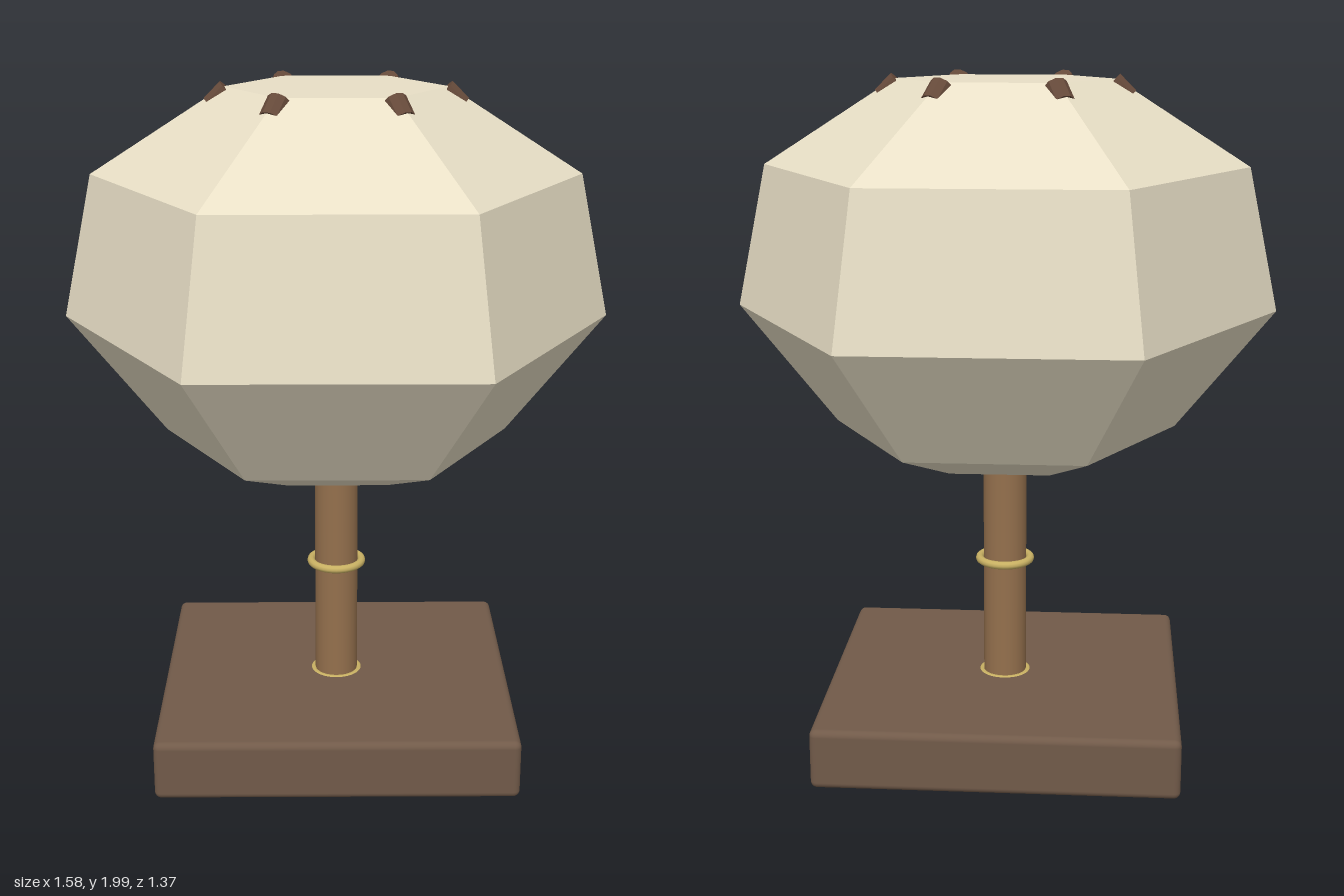
import * as THREE from 'three';
import { RoundedBoxGeometry } from 'three/addons/geometries/RoundedBoxGeometry.js';

function material(color, flatShading = false) {
  return new THREE.MeshStandardMaterial({ color, flatShading });
}

function addMesh(parent, name, geometry, mat, x = 0, y = 0, z = 0) {
  const mesh = new THREE.Mesh(geometry, mat);
  mesh.name = name;
  mesh.position.set(x, y, z);
  parent.add(mesh);
  return mesh;
}

export function createModel() {
  const model = new THREE.Group();
  model.name = 'tableLamp';

  const darkWood = material(0x715a49);
  const wood = material(0x94704d);
  const brass = material(0xc9b163);
  const paper = material(0xe8dfc6, true);
  const pegWood = material(0x664a3a, true);

  // Rectangular foot with softened edges
  addMesh(model, 'base', new RoundedBoxGeometry(1.06, 0.18, 0.97, 3, 0.02), darkWood, 0, 0.095, 0);

  // Round stem
  addMesh(model, 'stem', new THREE.CylinderGeometry(0.065, 0.065, 0.92, 20), wood, 0, 0.465, 0);

  // Brass rings: one at the foot, one halfway up the stem
  const rings = [['footRing', 0.07, 0.176], ['stemRing', 0.077, 0.55]];
  for (const [name, radius, y] of rings) {
    const ring = new THREE.TorusGeometry(radius, 0.012, 10, 40).rotateX(Math.PI / 2);
    addMesh(model, name, ring, brass, 0, y, 0);
  }

  // Faceted six-sided shade, closed at both ends
  const profile = [
    [0, 0.888], [0.285, 0.888], [0.505, 0.975], [0.79, 1.325],
    [0.7, 1.74], [0.315, 1.985], [0, 1.985],
  ].map(([r, y]) => new THREE.Vector2(r, y));
  addMesh(model, 'shade', new THREE.LatheGeometry(profile, 6, Math.PI / 2), paper);

  // Tilted pegs over the top corners of the shade
  const pegs = new THREE.Group();
  pegs.name = 'pegs';
  model.add(pegs);
  const pegGeometry = new THREE.CylinderGeometry(0.034, 0.034, 0.064, 10)
    .rotateZ(Math.PI / 4)
    .translate(0.325, 1.953, 0);
  for (let i = 0; i < 6; i++) {
    addMesh(pegs, 'peg', pegGeometry, pegWood).rotation.y = i * Math.PI / 3;
  }

  return model;
}
